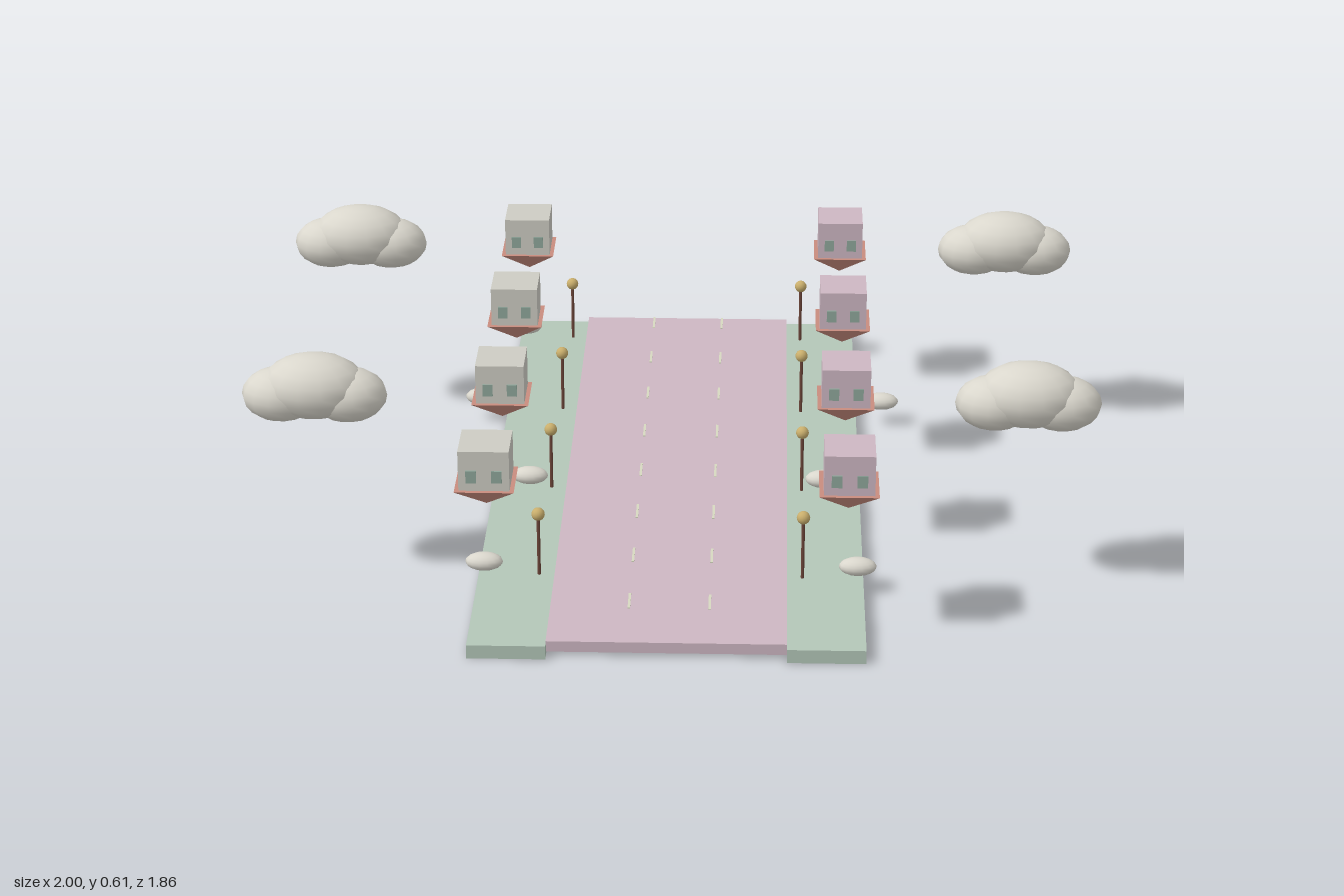
import * as THREE from 'three';

const mat = (name, color) => {
  const m = new THREE.MeshStandardMaterial({ color });
  m.name = name;
  return m;
};

export function createModel() {
  const root = new THREE.Group();
  root.name = 'floatingStreet';

  const grass = mat('sageGreen', 0xb3c6b8);
  const pink = mat('dustyPink', 0xcdb7c2);
  const grey = mat('warmGrey', 0xcdccc3);
  const roofRed = mat('terracotta', 0xc98c7e);
  const cloudWhite = mat('cloudWhite', 0xdad7cd);
  const poleBrown = mat('poleBrown', 0x6b4438);
  const gold = mat('lampGold', 0xc9ae6c);
  const glass = mat('windowGreen', 0x8fa79b);
  const paint = mat('lanePaint', 0xd6d9c0);

  const add = (parent, name, geo, material, x = 0, y = 0, z = 0) => {
    const mesh = new THREE.Mesh(geo, material);
    mesh.name = name;
    mesh.position.set(x, y, z);
    parent.add(mesh);
    return mesh;
  };
  const box = (w, h, d) => new THREE.BoxGeometry(w, h, d);
  const ball = new THREE.SphereGeometry(1, 14, 10);
  const blob = (parent, name, material, x, y, z, rx, ry, rz) =>
    add(parent, name, ball, material, x, y, z).scale.set(rx, ry, rz);

  // Road slab, slightly offset along z from the verges
  add(root, 'road', box(0.555, 0.027, 1.84), pink, 0, 0.0225, -0.015);
  // Two rows of lane dashes
  for (const x of [-0.093, 0.096])
    for (let i = 0; i < 8; i++)
      add(root, 'laneDash', box(0.006, 0.003, 0.07), paint, x, 0.037, -0.9 + i * 0.23);

  // Upside-down house: box above an inverted pyramid roof
  const roofGeo = new THREE.ConeGeometry(0.068 * Math.SQRT2, 0.06, 4)
    .rotateY(Math.PI / 4).rotateX(Math.PI).toNonIndexed();
  roofGeo.computeVertexNormals();
  const house = (x, z, wall) => {
    const g = new THREE.Group();
    g.name = 'house';
    g.position.set(x, 0, z);
    add(g, 'walls', box(0.116, 0.1, 0.116), wall, 0, 0.45, 0);
    add(g, 'roof', roofGeo, roofRed, 0, 0.372, 0);
    for (const s of [-1, 1])
      add(g, 'window', box(0.024, 0.03, 0.006), glass, s * 0.029, 0.438, 0.059);
    root.add(g);
  };

  // Cloud: a large middle puff and two lower side puffs
  const cloud = (x, z) => {
    const g = new THREE.Group();
    g.name = 'cloud';
    g.position.set(x, 0, z);
    blob(g, 'middlePuff', cloudWhite, 0, 0.527, 0, 0.123, 0.078, 0.088);
    for (const s of [-1, 1])
      blob(g, 'sidePuff', cloudWhite, s * 0.078, 0.505, 0, 0.092, 0.064, 0.074);
    root.add(g);
  };

  const poleGeo = new THREE.CylinderGeometry(0.004, 0.004, 0.155, 8);
  const bushX = [0.445, 0.525, 0.368, 0.445];

  for (const side of [-1, 1]) {
    add(root, 'verge', box(0.182, 0.034, 1.836), grass, side * 0.368, 0.017, 0.008);
    for (let i = 0; i < 4; i++) {
      const z = -0.8 + i * 0.46;
      house(side * 0.413, z + 0.23, side < 0 ? grey : pink);
      // Street lamp
      add(root, 'lampPole', poleGeo, poleBrown, side * 0.314, 0.1125, z);
      blob(root, 'lampBulb', gold, side * 0.314, 0.196, z, 0.016, 0.016, 0.016);
      // Small floating puff beside each lamp
      blob(root, 'smallPuff', cloudWhite, side * bushX[i], 0.068, z, 0.045, 0.022, 0.027);
    }
    for (const z of [-0.338, 0.583]) cloud(side * 0.83, z);
  }
  return root;
}
